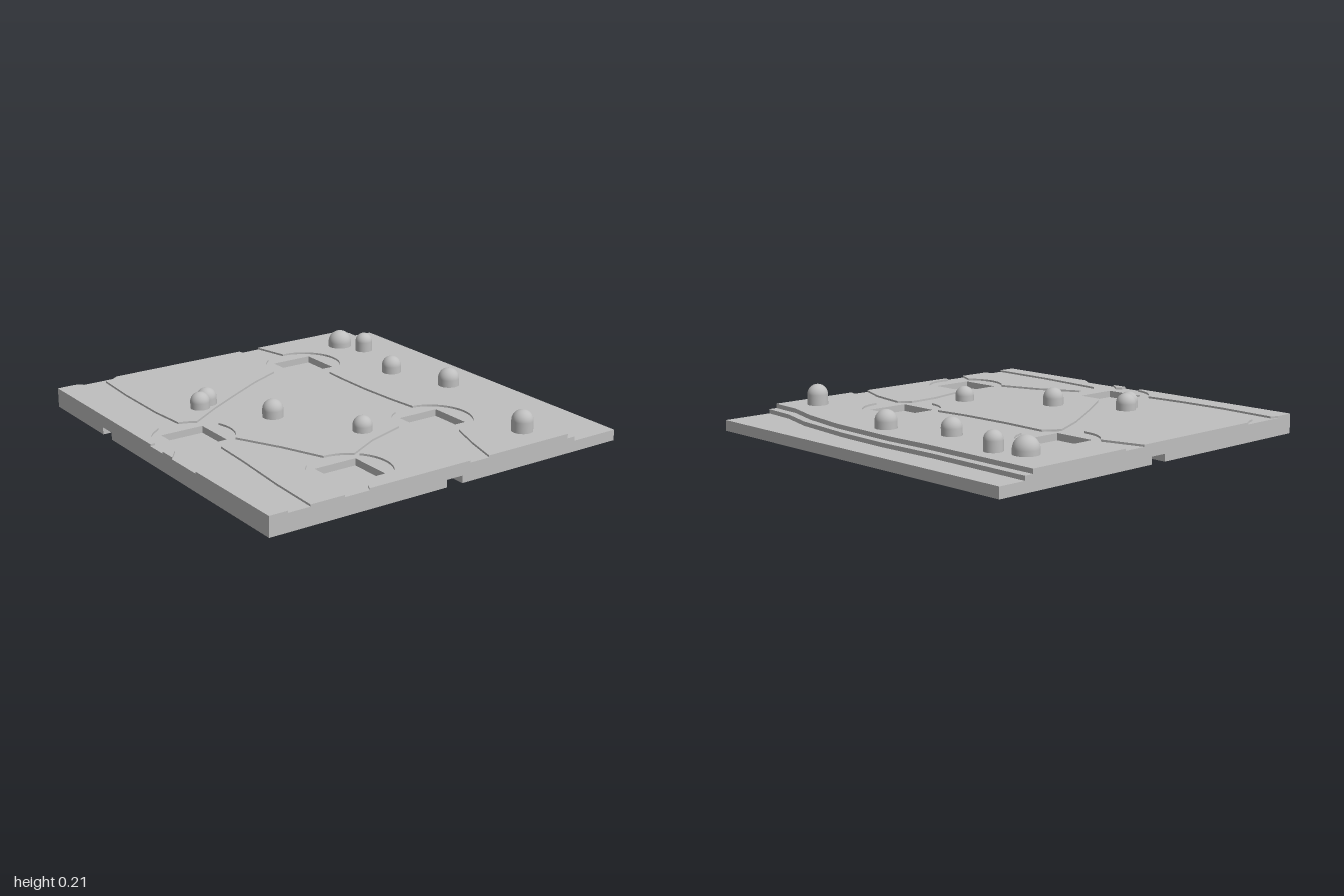
import * as THREE from 'three';

const TOP = 0.1, PATH = 0.09, STEP = 0.077, BED = 0.055, PIT = 0.048, NOTCH = 0.037;
const R = 0.2, PIT_HALF = 0.113;

// Plaza centres [x, z]
const A = { c: [-0.62, -0.27] }, B = { c: [0.46, -0.3] };
const C = { c: [0.77, 0.42] }, D = { c: [0, 0.775] };

// Upright extrusion of a plan outline given in x, z
function slab(points, y0, y1, holes = []) {
  const toV = (p) => new THREE.Vector2(p[0], -p[1]);
  const shape = new THREE.Shape(points.map(toV));
  for (const h of holes) shape.holes.push(new THREE.Path(h.map(toV)));
  const g = new THREE.ExtrudeGeometry(shape, { depth: y1 - y0, bevelEnabled: false });
  return g.rotateX(-Math.PI / 2).translate(0, y0, 0);
}

// Replace each plaza entry by an arc joining its neighbouring points
function withArcs(list) {
  const raw = list.filter((p) => !p.c).map((p) => new THREE.Vector2(p[0], p[1]));
  const dir = -Math.sign(THREE.ShapeUtils.area(raw));
  const out = [];
  list.forEach((p, i) => {
    if (!p.c) return out.push(p);
    const ang = (q) => Math.atan2(q[1] - p.c[1], q[0] - p.c[0]);
    const a0 = ang(list[i - 1]), a1 = ang(list[i + 1]);
    let sweep = (a1 - a0) * dir;
    while (sweep < 0) sweep += Math.PI * 2;
    const n = Math.max(4, Math.ceil(sweep / 0.13));
    for (let k = 1; k < n; k++) {
      const a = a0 + (dir * sweep * k) / n;
      out.push([p.c[0] + R * Math.cos(a), p.c[1] + R * Math.sin(a)]);
    }
  });
  return out;
}

const square = ({ c: [x, z] }) => [
  [x - PIT_HALF, z - PIT_HALF], [x + PIT_HALF, z - PIT_HALF],
  [x + PIT_HALF, z + PIT_HALF], [x - PIT_HALF, z + PIT_HALF],
];

export function createModel() {
  const group = new THREE.Group();
  const stone = new THREE.MeshStandardMaterial({ color: 0xbfbfbf });
  stone.name = 'grey stone';
  const add = (name, geometry) => {
    const m = new THREE.Mesh(geometry, stone);
    m.name = name;
    group.add(m);
    return m;
  };

  const pits = [A, B, C, D].map(square);
  const full = [[-1, -1], [1, -1], [1, 1], [-1, 1]];

  // Underside layer with connector notches on the front, left and right edges
  const w = 0.045, d = 0.1, nx = -0.455;
  add('notchedBase', slab([
    [-1, -1], [1, -1], [1, -w], [1 - d, -w], [1 - d, w], [1, w], [1, 1],
    [nx + w, 1], [nx + w, 1 - d], [nx - w, 1 - d], [nx - w, 1], [-1, 1],
    [-1, w], [-1 + d, w], [-1 + d, -w], [-1, -w],
  ], 0, NOTCH));
  add('pitFloor', slab(full, NOTCH, PIT));
  add('riverBed', slab(full, PIT, BED, pits));

  // Stepped river bank along the back
  const lowerBank = [[1, -0.735], [0.81, -0.75], [0.605, -0.805], [0.25, -0.843],
    [-0.05, -0.853], [-0.4, -0.843], [-1, -0.853]];
  const upperBank = [[1, -0.69], [0.82, -0.7], [0.62, -0.755], [0.35, -0.795],
    [-0.05, -0.81], [-0.3, -0.8], [-1, -0.805]];
  add('lowerBank', slab([...lowerBank, [-1, 1], [1, 1]], BED, STEP, pits));
  add('pathLayer', slab([...upperBank, [-1, 1], [1, 1]], STEP, PATH, pits));

  // Raised ground between the sunken paths
  const islands = {
    northGround: [[-1, -0.225], [-0.815, -0.27], A, [-0.42, -0.305], [-0.3, -0.3], [-0.1, -0.3],
      [0.1, -0.312], [0.265, -0.33], B, [0.658, -0.305], [0.835, -0.245], [1, -0.2], ...upperBank],
    westGround: [[-1, -0.1], [-0.785, -0.155], A, [-0.595, -0.067], [-0.51, 0.11], [-0.395, 0.305],
      [-0.285, 0.485], [-0.165, 0.66], D, [-0.2, 0.745], [-0.395, 0.76], [-0.715, 0.757],
      [-0.962, 0.742], [-0.975, 0.695], [-1, 0.66]],
    southWestGround: [[-1, 0.9], [-0.98, 0.865], [-0.66, 0.885], [-0.395, 0.88], [-0.185, 0.863],
      D, [-0.015, 0.975], [-0.015, 1], [-1, 1]],
    centreGround: [[-0.49, -0.11], A, [-0.437, -0.19], [-0.18, -0.18], [0.1, -0.187], [0.285, -0.207],
      B, [0.455, -0.1], [0.525, 0.11], [0.62, 0.285], C, [0.57, 0.425], [0.355, 0.515],
      [0.135, 0.627], D, [-0.08, 0.59], [-0.235, 0.35], [-0.395, 0.085]],
    eastGround: [[0.572, -0.135], B, [0.625, -0.19], [0.835, -0.155], [1, -0.09], [1, 0.48],
      [0.965, 0.463], C, [0.637, 0.27], [0.58, 0.03]],
    southEastGround: [[0.195, 0.73], [0.405, 0.62], [0.617, 0.55], C, [0.905, 0.567], [1, 0.61],
      [1, 0.79], [0.725, 0.78], [0.405, 0.755], [0.2, 0.745]],
    frontCornerGround: [[0.215, 0.87], [0.62, 0.9], [1, 0.905], [1, 1], [0.4, 1]],
    frontSliver: [[0.095, 0.965], [0.12, 0.945], [0.19, 1], [0.1, 1]],
  };
  for (const [name, list] of Object.entries(islands)) add(name, slab(withArcs(list), PATH, TOP));

  // Round-topped trees: x, z, radius, top height
  const trees = [
    [-0.775, -0.625, 0.063, 0.187], [-0.63, -0.685, 0.046, 0.198], [-0.235, -0.578, 0.051, 0.187],
    [0.107, -0.69, 0.055, 0.191], [0.84, -0.543, 0.053, 0.206], [0.402, 0.08, 0.048, 0.176],
    [-0.008, 0.323, 0.052, 0.19], [-0.36, 0.49, 0.051, 0.184], [-0.325, 0.548, 0.049, 0.182],
  ];
  for (const [x, z, r, top] of trees) {
    const profile = [new THREE.Vector2(r, PATH)];
    for (let i = 0; i <= 10; i++) {
      const a = (i / 10) * Math.PI / 2;
      profile.push(new THREE.Vector2(i === 10 ? 0 : r * Math.cos(a), top - r + r * Math.sin(a)));
    }
    add('tree', new THREE.LatheGeometry(profile, 32)).position.set(x, 0, z);
  }
  return group;
}
